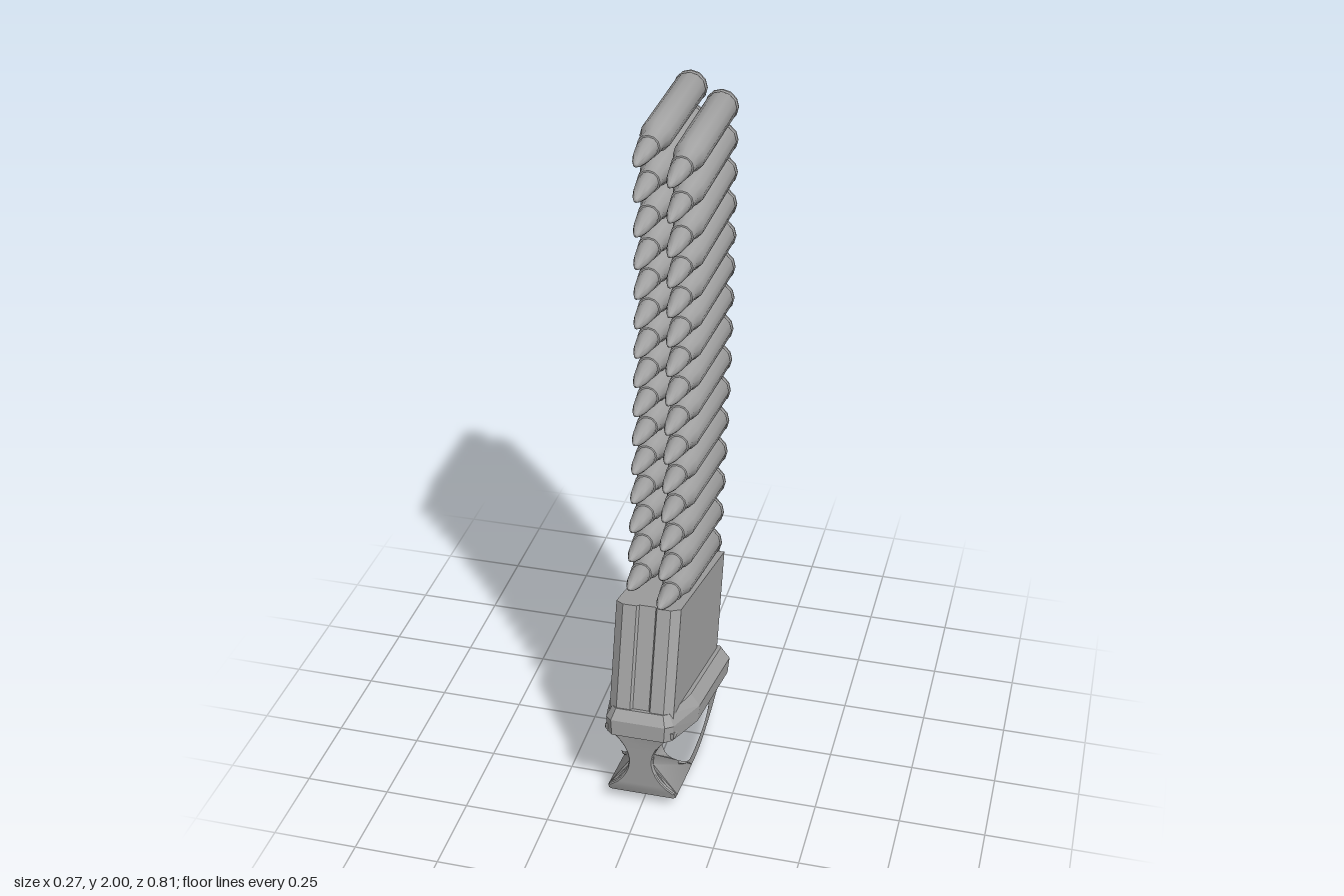
import * as THREE from 'three';
import { toCreasedNormals } from 'three/addons/utils/BufferGeometryUtils.js';
import { ConvexGeometry } from 'three/addons/geometries/ConvexGeometry.js';

const TILT = 0.274; // lean of the magazine body, radians
const V = (x, y) => new THREE.Vector2(x, y);

export function createModel() {
  const model = new THREE.Group();
  const grey = new THREE.MeshStandardMaterial({ color: 0xa3a3a3 });
  grey.name = 'grey';
  const add = (parent, name, geometry) => {
    const mesh = new THREE.Mesh(geometry, grey);
    mesh.name = name;
    parent.add(mesh);
    return mesh;
  };

  // Tilted lower part
  const base = new THREE.Group();
  base.name = 'magazineBase';
  base.rotation.x = -TILT;
  model.add(base);

  // Body: plan with bevelled front corners and a shallow front groove
  const half = [[0.095, -0.135], [0.095, 0.435], [0.07, 0.457], [0.03, 0.457], [0.024, 0.446]];
  const plan = [...half, ...half.map(([x, u]) => [-x, u]).reverse()];
  const bodyShape = new THREE.Shape(plan.map(([x, u]) => V(x, -u)));
  const body = new THREE.ExtrudeGeometry(bodyShape, { depth: 0.357, bevelEnabled: false });
  body.rotateX(-Math.PI / 2).translate(0, 0.2, 0);
  add(base, 'body', body);

  // Rib on the back and the small catch under it
  const rib = new THREE.BoxGeometry(0.15, 0.38, 0.03);
  add(base, 'backRib', rib).position.set(0, 0.365, -0.142);
  const tab = new THREE.BoxGeometry(0.11, 0.025, 0.06);
  add(base, 'backCatch', tab).position.set(0, 0.187, -0.18);

  // Floor plate lip, as three stacked outlines
  const lipPoints = [];
  const layer = (v, outline) => outline.forEach(([x, u]) => {
    for (const s of [1, -1]) lipPoints.push(new THREE.Vector3(s * x, v, u));
  });
  const wide = [[0.115, -0.176], [0.135, -0.15], [0.135, 0.264], [0.1, 0.45], [0.08, 0.474]];
  layer(0.158, wide.map(([x, u]) => [x - 0.003, u > 0.4 ? u - 0.012 : u]));
  layer(0.207, wide);
  layer(0.241, [[0.1, -0.155], [0.107, -0.14], [0.107, 0.27], [0.085, 0.445], [0.07, 0.462]]);
  add(base, 'floorPlateLip', new ConvexGeometry(lipPoints));

  // Pull loop: side profile (z, y) with finger hole and cord slot
  const loop = new THREE.Shape();
  loop.moveTo(-0.2, 0.145);
  loop.lineTo(0.385, 0.3);
  for (let i = 1; i <= 12; i++) loop.lineTo(0.385 - 0.018 * i / 12, 0.3 - 0.24 * i / 12);
  loop.lineTo(0.36, 0.04);
  loop.splineThru([V(0.27, 0.025), V(0.19, 0.013), V(0.07, 0.003), V(-0.07, 0.023), V(-0.185, 0.058)]);
  loop.lineTo(-0.205, 0.08);
  const hole = new THREE.Path();
  hole.moveTo(0.255, 0.22);
  hole.splineThru([V(0.265, 0.19), V(0.27, 0.125), V(0.243, 0.075), V(0.19, 0.05), V(0.11, 0.042),
    V(0.02, 0.045), V(-0.035, 0.065), V(-0.058, 0.1), V(-0.02, 0.15), V(0.1, 0.187), V(0.255, 0.22)]);
  const slot = new THREE.Path();
  slot.absellipse(-0.127, 0.086, 0.038, 0.019, 0, Math.PI * 2, true, 0.25);
  loop.holes.push(hole, slot);
  const bevel = 0.01;
  const pull = new THREE.ExtrudeGeometry(loop, {
    depth: 0.21 - 2 * bevel, curveSegments: 5,
    bevelThickness: bevel, bevelSize: bevel, bevelOffset: -bevel, bevelSegments: 2,
  });
  pull.translate(0, 0, -0.105 + bevel).rotateY(-Math.PI / 2);
  // Narrow the front strut into a waist
  const pos = pull.attributes.position;
  for (let i = 0; i < pos.count; i++) {
    const t = THREE.MathUtils.clamp((pos.getY(i) - 0.06) / 0.22, 0, 1);
    const front = THREE.MathUtils.smoothstep(pos.getZ(i), 0.2, 0.26);
    pos.setX(i, pos.getX(i) * (1 - 0.66 * front * Math.max(0, Math.sin(Math.PI * t)) ** 0.7));
  }
  add(model, 'pullLoop', toCreasedNormals(pull, 0.6));

  // Cartridge: one lathe profile from rim to tip, measured from the rear
  const profile = [[0, 0], [0.046, 0], [0.048, 0.003], [0.048, 0.01], [0.044, 0.014], [0.046, 0.02],
    [0.044, 0.39], [0.034, 0.425], [0.032, 0.468], [0.028, 0.469], [0.027, 0.5], [0.022, 0.54],
    [0.014, 0.575], [0.006, 0.596], [0, 0.6]];
  const lathe = new THREE.LatheGeometry(profile.map(([r, l]) => V(r, l)), 12);
  lathe.rotateX(Math.PI / 2);
  const cartridge = toCreasedNormals(lathe, 0.7);

  // Two staggered columns that follow the curve of the magazine
  const stack = new THREE.Group();
  stack.name = 'cartridgeStack';
  model.add(stack);
  for (const [x, top] of [[-0.048, 1.953], [0.042, 1.905]]) {
    for (let i = 0; i < 15; i++) {
      const y = top - 0.0975 * i;
      const drop = Math.max(0, 1.7 - y);
      const mesh = add(stack, 'cartridge', cartridge);
      mesh.position.set(x, y, -0.405 + 0.1 * drop * drop);
      mesh.rotation.x = -0.203 * drop;
    }
  }
  return model;
}
